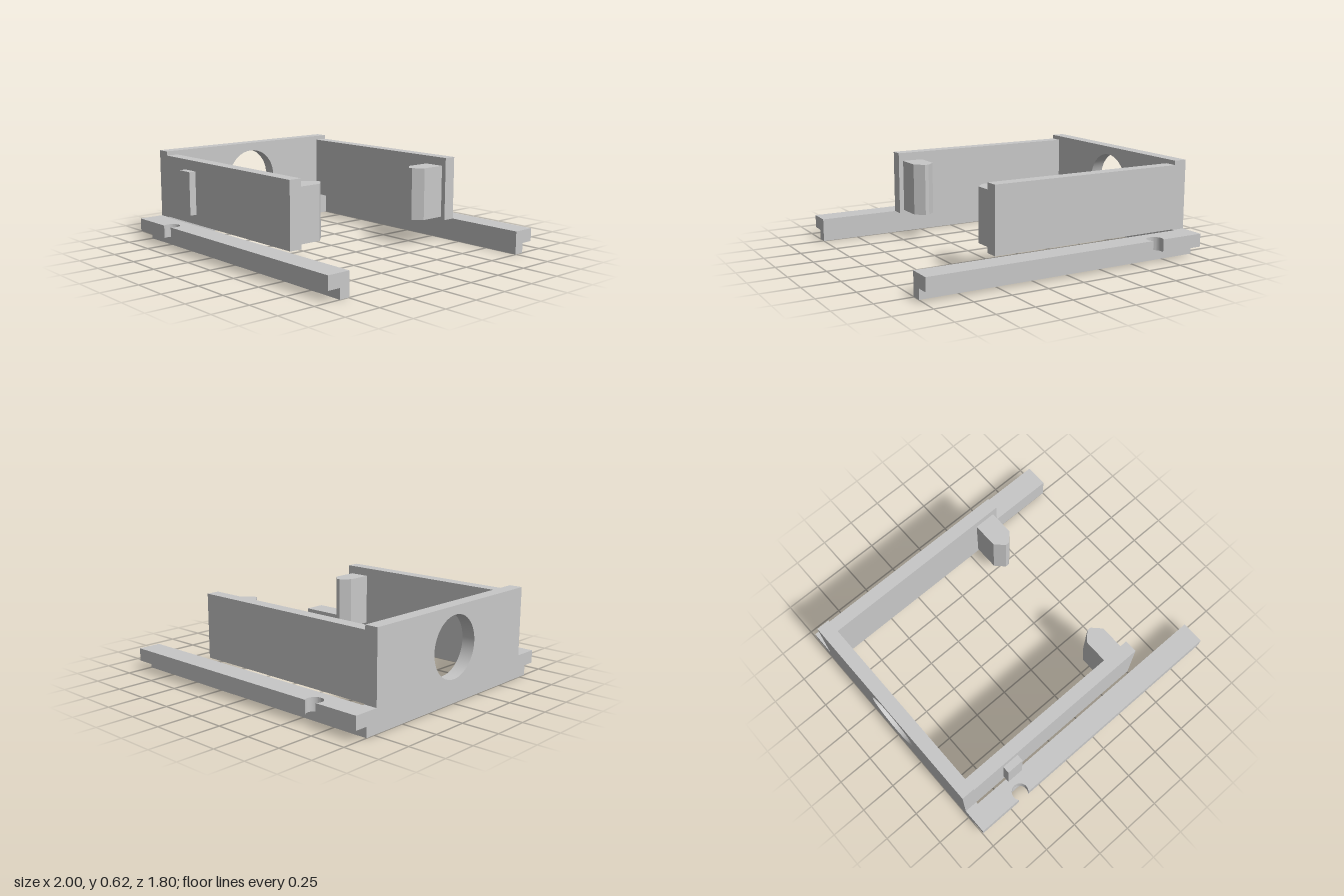
import * as THREE from 'three';
import { toCreasedNormals } from 'three/addons/utils/BufferGeometryUtils.js';

const grey = new THREE.MeshStandardMaterial({ color: 0xc8c8c8 });
grey.name = 'light grey';

function addMesh(group, name, geometry) {
  const mesh = new THREE.Mesh(geometry, grey);
  mesh.name = name;
  group.add(mesh);
}

// Box given by its limits on each axis
function box(x0, x1, y0, y1, z0, z1) {
  const g = new THREE.BoxGeometry(x1 - x0, y1 - y0, Math.abs(z1 - z0));
  return g.translate((x0 + x1) / 2, (y0 + y1) / 2, (z0 + z1) / 2);
}

// Upright prism from a plan outline of [x, z] points; side = 1 or -1 mirrors z
function prism(points, side, y0, y1) {
  const shape = new THREE.Shape(points.map(([x, z]) => new THREE.Vector2(x, z * side)));
  const g = new THREE.ExtrudeGeometry(shape, { depth: y1 - y0, bevelEnabled: false });
  g.rotateX(Math.PI / 2).translate(0, y1, 0);
  return toCreasedNormals(g, 0.5);
}

// Round notch opening through the outer edge of the rail lip
function notchPoints(cx, cz, r, edge) {
  const start = Math.asin((edge - cz) / r);
  const sweep = Math.PI + 2 * start;
  const points = [];
  for (let i = 0; i <= 28; i++) {
    const a = Math.PI - start + (sweep * i) / 28;
    points.push([cx + r * Math.cos(a), cz + r * Math.sin(a)]);
  }
  return points;
}

export function createModel() {
  const model = new THREE.Group();
  model.name = 'slide bracket';

  // End plate with a round hole
  const plate = new THREE.Shape();
  plate.moveTo(-0.729, 0).lineTo(0.729, 0).lineTo(0.729, 0.624).lineTo(-0.729, 0.624).closePath();
  const hole = new THREE.Path();
  hole.absarc(0, 0.362, 0.205, 0, Math.PI * 2, true);
  plate.holes.push(hole);
  const plateGeometry = new THREE.ExtrudeGeometry(plate, { depth: 0.09, bevelEnabled: false, curveSegments: 48 });
  plateGeometry.rotateY(Math.PI / 2).translate(-1, 0, 0);
  addMesh(model, 'endPlate', toCreasedNormals(plateGeometry, 0.5));

  for (const side of [1, -1]) {
    const label = side > 0 ? 'front' : 'back';

    // Stepped rail: narrow foot below, wide notched lip above, joined to the end plate
    const inner = [[1, 0.743], [-0.91, 0.743], [-0.91, 0.729], [-1, 0.729]];
    addMesh(model, label + 'RailFoot', prism([...inner, [-1, 0.814], [1, 0.814]], side, 0, 0.068));
    const notch = notchPoints(-0.648, 0.866, 0.055, 0.902);
    addMesh(model, label + 'RailLip', prism([...inner, [-1, 0.902], ...notch, [1, 0.902]], side, 0.068, 0.156));

    // Side wall
    addMesh(model, label + 'Wall', box(-0.91, 0.458, 0.16, 0.595, side * 0.642, side * 0.729));

    // Inward catch with a chamfered tip
    const catchOutline = [[0.278, 0.642], [0.278, 0.468], [0.338, 0.408],
      [0.365, 0.408], [0.425, 0.468], [0.425, 0.642]];
    addMesh(model, label + 'Catch', prism(catchOutline, side, 0.18, 0.538));
  }

  // Raised tab on the front wall
  addMesh(model, 'frontTab', box(-0.672, -0.554, 0.228, 0.525, 0.729, 0.777));

  return model;
}
